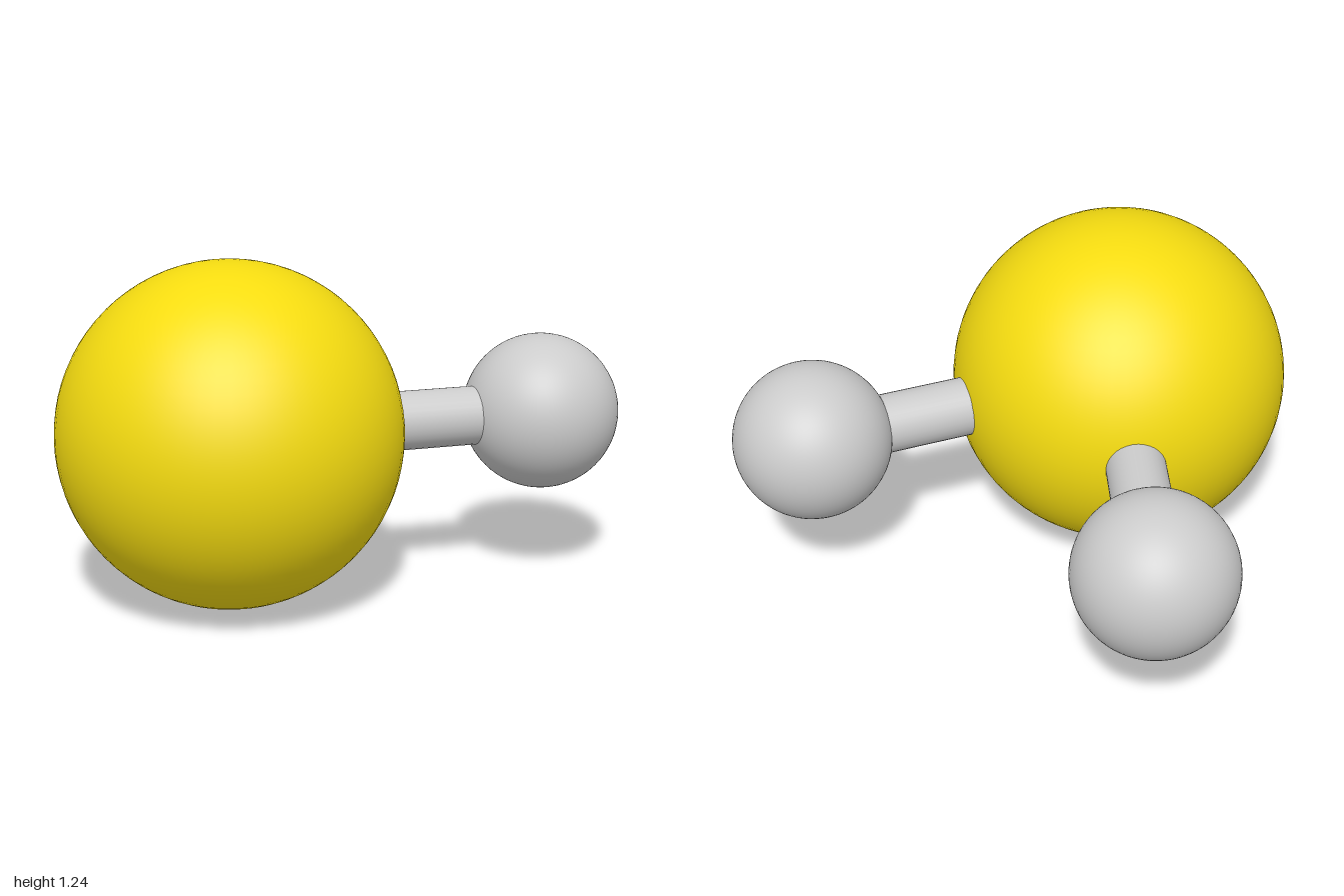
import * as THREE from 'three';

export function createModel() {
  const model = new THREE.Group();
  const yellow = new THREE.MeshStandardMaterial({ color: 0xf5dc10 });
  const grey = new THREE.MeshStandardMaterial({ color: 0xcccccc });

  function addBall(name, radius, position, material) {
    const ball = new THREE.Mesh(new THREE.SphereGeometry(radius, 64, 40), material);
    ball.name = name;
    ball.position.copy(position);
    model.add(ball);
  }

  // Large central atom
  const centre = new THREE.Vector3(-0.31, 0.622, 0);
  addBall('centralAtom', 0.622, centre, yellow);

  // Two small atoms, each joined to the centre by a straight rod
  for (const [side, s] of [['front', 1], ['back', -1]]) {
    const end = new THREE.Vector3(0.643, 0.622, s * 0.713);
    addBall(side + 'SmallAtom', 0.287, end, grey);

    const along = end.clone().sub(centre);
    const bond = new THREE.Mesh(
      new THREE.CylinderGeometry(0.108, 0.108, along.length(), 32), grey);
    bond.name = side + 'Bond';
    bond.position.copy(centre).addScaledVector(along, 0.5);
    bond.quaternion.setFromUnitVectors(new THREE.Vector3(0, 1, 0), along.normalize());
    model.add(bond);
  }

  return model;
}
